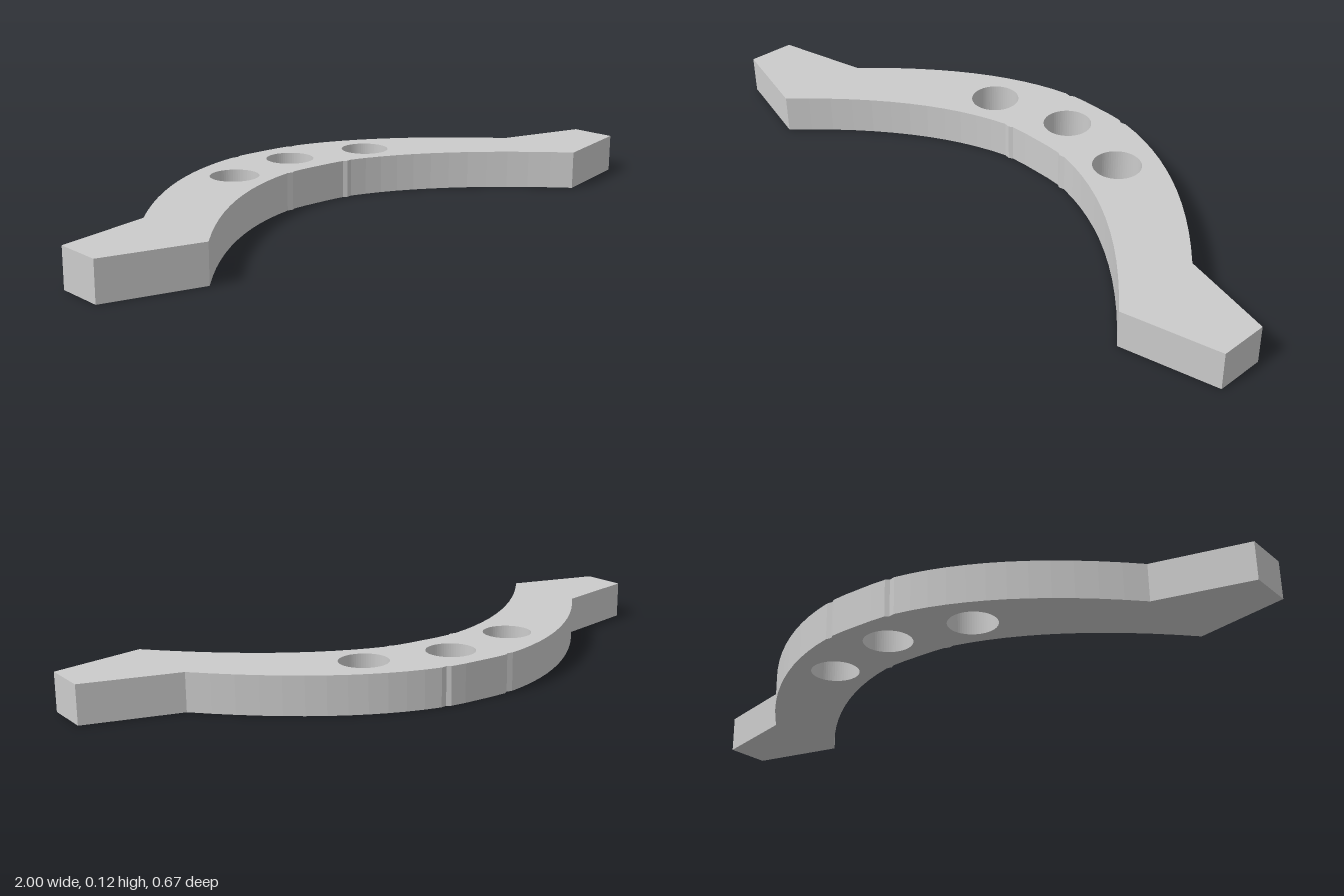
import * as THREE from 'three';

const HEIGHT = 0.115;

// Right-hand half (+x) of one long edge, from the centre notch out to the shoulder: [x, z]
function archEdge(notch, start, control, end) {
  const curve = new THREE.QuadraticBezierCurve(
    new THREE.Vector2(...start), new THREE.Vector2(...control), new THREE.Vector2(...end));
  return [...notch.map(p => new THREE.Vector2(...p)), ...curve.getPoints(12)];
}

const mirror = points => points.map(p => new THREE.Vector2(-p.x, p.y)).reverse();

export function createModel() {
  const group = new THREE.Group();

  // Convex back edge and concave front edge, each with a small notch beside the centre
  const back = archEdge(
    [[0.05, -0.336], [0.098, -0.333], [0.11, -0.325]],
    [0.128, -0.328], [0.425, -0.268], [0.715, 0.052]);
  const front = archEdge(
    [[0.05, -0.07], [0.098, -0.067], [0.11, -0.06]],
    [0.128, -0.063], [0.425, 0.01], [0.715, 0.336]);
  const tip = [new THREE.Vector2(1, 0.122), new THREE.Vector2(1, 0.266)];

  // Closed clockwise outline; z is flipped because the extrusion is laid flat afterwards
  const half = [...back, ...tip, ...front.reverse()];
  const outline = [...half, ...mirror(half)].map(p => new THREE.Vector2(p.x, -p.y));
  const shape = new THREE.Shape(outline);

  // Three round through-holes along the arch, wound against the outline
  for (const [x, z] of [[-0.262, -0.145], [0, -0.204], [0.262, -0.145]]) {
    shape.holes.push(new THREE.Path().absarc(x, -z, 0.073, 0, Math.PI * 2, false));
  }

  const geometry = new THREE.ExtrudeGeometry(shape, {
    depth: HEIGHT, bevelEnabled: false, curveSegments: 32,
  });
  geometry.rotateX(-Math.PI / 2);

  const plate = new THREE.Mesh(geometry, new THREE.MeshStandardMaterial({ color: 0xcccccc }));
  plate.name = 'archedPlate';
  group.add(plate);
  return group;
}
